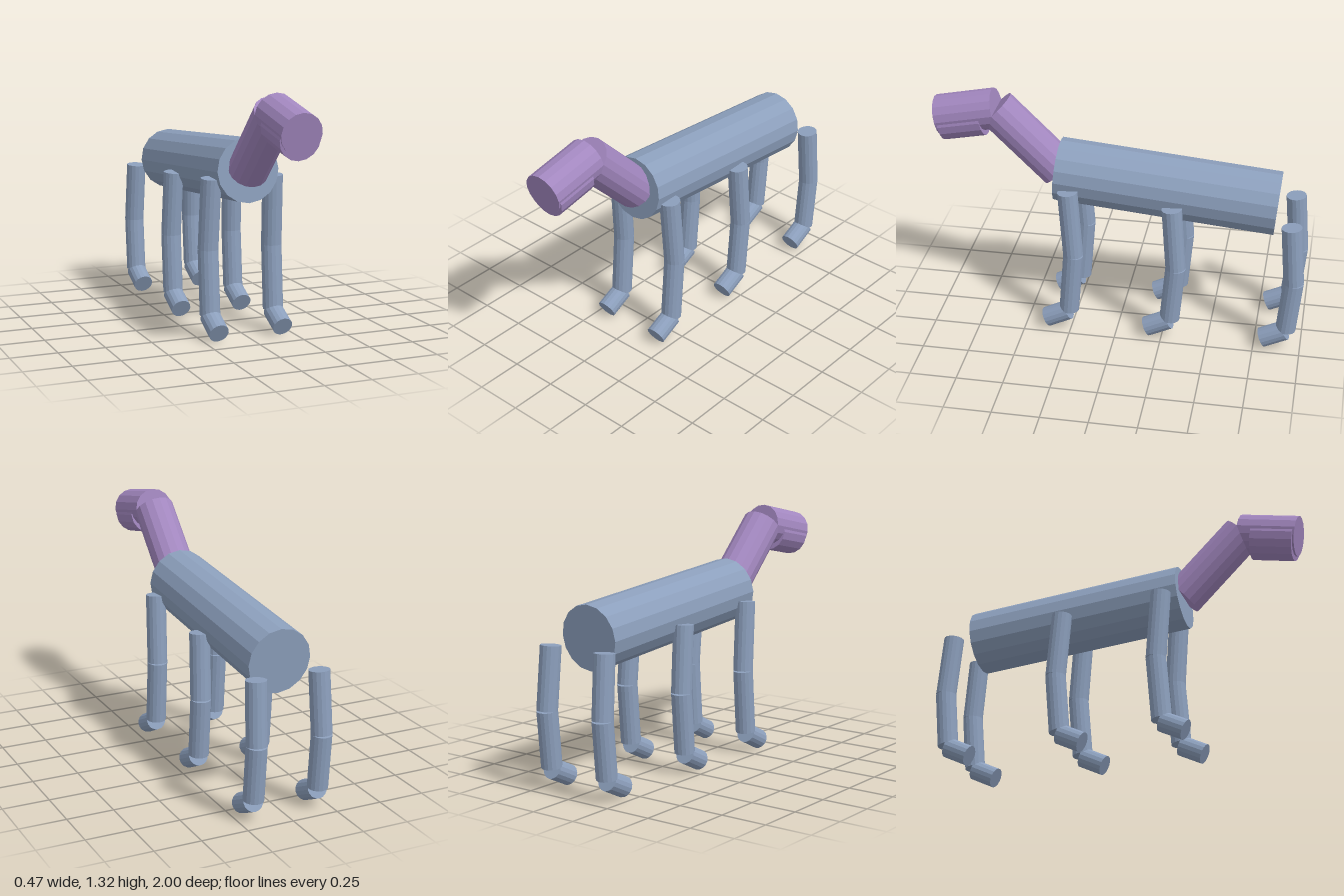
import * as THREE from 'three';

const SIDES = 16;

export function createModel() {
  const slate = new THREE.MeshStandardMaterial({ color: 0x8c9fbc, flatShading: true });
  slate.name = 'slateBlue';
  const mauve = new THREE.MeshStandardMaterial({ color: 0xa287bf, flatShading: true });
  mauve.name = 'mauve';

  // Capped cylinder running from point a to point b
  const limb = (name, a, b, radius, material) => {
    const start = new THREE.Vector3(...a);
    const end = new THREE.Vector3(...b);
    const axis = end.clone().sub(start);
    const mesh = new THREE.Mesh(
      new THREE.CylinderGeometry(radius, radius, axis.length(), SIDES), material);
    mesh.name = name;
    mesh.position.copy(start).add(end).multiplyScalar(0.5);
    mesh.rotation.x = Math.atan2(axis.z, axis.y);
    // slight sideways lean for the splayed upper legs
    mesh.rotation.z = -Math.asin(axis.x / axis.length());
    return mesh;
  };

  const model = new THREE.Group();
  model.name = 'sixLeggedAnimal';

  // Trunk, neck and head
  model.add(
    limb('body', [0, 0.783, -0.832], [0, 0.885, 0.34], 0.17, slate),
    limb('neck', [0, 0.885, 0.335], [0, 1.214, 0.667], 0.108, mauve),
    limb('head', [0, 1.214, 0.667], [0, 1.15, 0.978], 0.108, mauve),
    limb('jaw', [0, 1.169, 0.737], [0, 1.124, 0.962], 0.108, mauve),
  );

  // Three pairs of legs, each hip lower than the one in front
  const pairs = [
    { name: 'front', z: 0, hip: 0.842, knee: 0.465 },
    { name: 'middle', z: -0.552, hip: 0.793, knee: 0.44 },
    { name: 'rear', z: -1.178, hip: 0.743, knee: 0.415 },
  ];
  for (const { name, z, hip, knee } of pairs) {
    for (const side of [1, -1]) {
      const leg = new THREE.Group();
      leg.name = `${name}${side > 0 ? 'Left' : 'Right'}Leg`;
      const hipX = side * 0.173, x = side * 0.18;
      leg.add(
        limb('upperLeg', [hipX, hip, z + 0.26], [x, knee, z + 0.233], 0.054, slate),
        limb('lowerLeg', [x, knee, z + 0.233], [x, 0.12, z + 0.26], 0.054, slate),
        limb('foot', [x, 0.111, z + 0.262], [x, 0.051, z + 0.385], 0.054, slate),
      );
      model.add(leg);
    }
  }
  return model;
}
